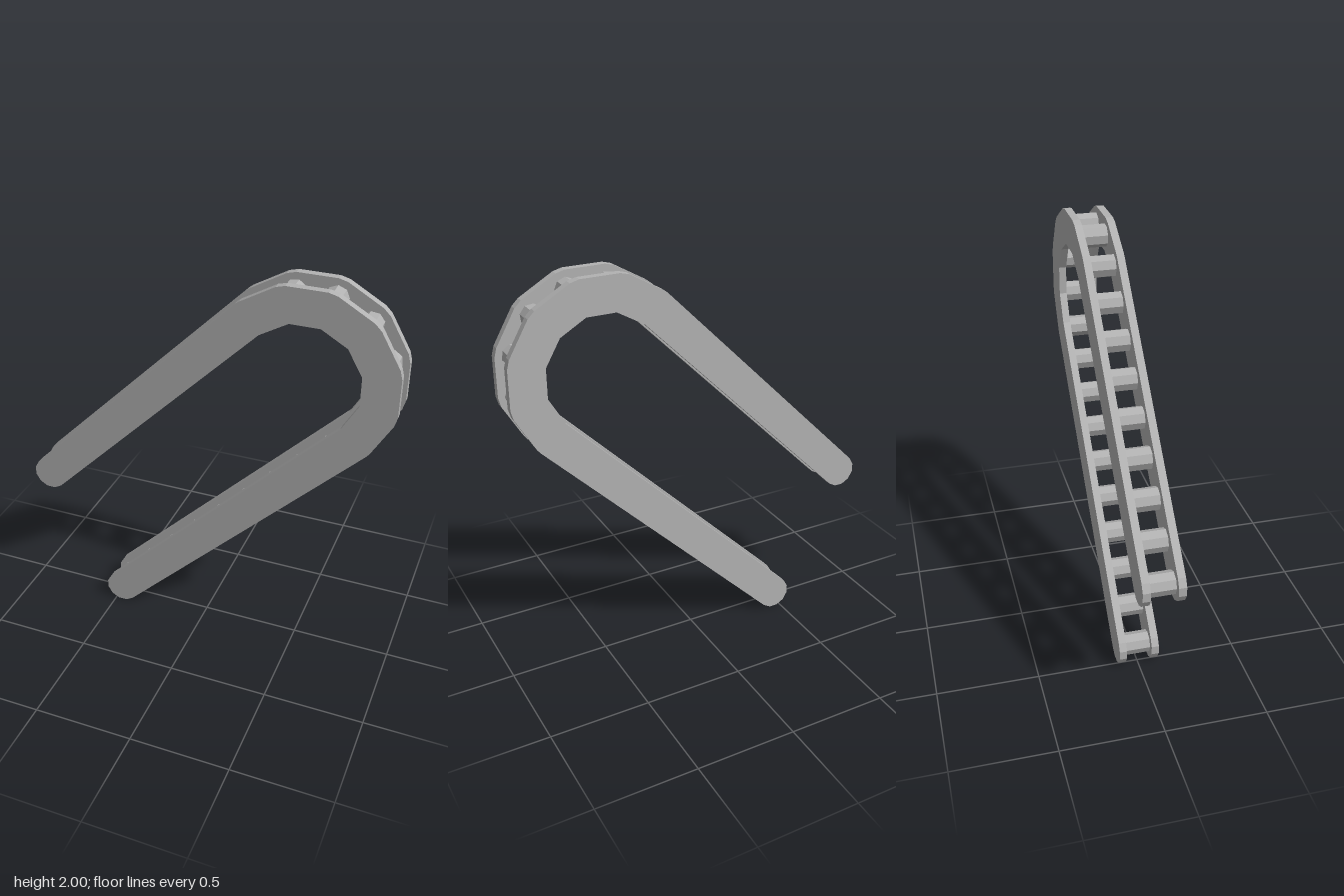
import * as THREE from 'three';

const PITCH = 0.1907;          // distance between neighbouring pins
const HALF_WIDTH = 0.0865;     // half the width of a link plate
const PLATE_IN = 0.063, PLATE_OUT = 0.1;
const CENTRE = new THREE.Vector2(0.4903, 1.5576);
const RAD = Math.PI / 180;

const polar = (origin, deg, r) =>
  new THREE.Vector2(origin.x + r * Math.cos(deg * RAD), origin.y + r * Math.sin(deg * RAD));

// Pin positions: a straight arm, half of a 12-sided bend, a second straight arm
function chainPath() {
  const bendRadius = PITCH / (2 * Math.sin(15 * RAD));
  const bend = [];
  for (let a = 135; a >= -45; a -= 30) bend.push(polar(CENTRE, a, bendRadius));
  const pins = [];
  for (let k = 8; k > 0; k--) pins.push({ p: polar(bend[0], 225, PITCH * k), dir: 45 });
  bend.forEach((p, i) => pins.push({ p, dir: i === 0 ? 45 : 60 - 30 * i }));
  for (let k = 1; k <= 9; k++) pins.push({ p: polar(bend[6], 225, PITCH * k), dir: 225 });
  return { pins, bend };
}

// Outline of one side plate: chamfered outer corners, mitred inner corners, faceted round ends
function plateShape(pins, bend) {
  const pts = [];
  const headings = [45, 30, 0, -30, -60, -90, -120, -135];
  const cap = (p, from) => {
    for (let k = 0; k <= 6; k++) pts.push(polar(p, from - 30 * k, HALF_WIDTH));
  };
  cap(pins[0].p, 315);
  bend.forEach((p, i) => {
    pts.push(polar(p, headings[i] + 90, HALF_WIDTH), polar(p, headings[i + 1] + 90, HALF_WIDTH));
  });
  cap(pins[pins.length - 1].p, -45);
  for (let i = bend.length - 1; i >= 0; i--) {
    const mid = (headings[i] + headings[i + 1]) / 2;
    const half = (headings[i] - headings[i + 1]) / 2;
    pts.push(polar(bend[i], mid - 90, HALF_WIDTH / Math.cos(half * RAD)));
  }
  return new THREE.Shape(pts);
}

export function createModel() {
  const group = new THREE.Group();
  group.name = 'chain';
  const steel = new THREE.MeshStandardMaterial({ color: 0xb2b2b2, flatShading: true });
  steel.name = 'steel grey';
  const { pins, bend } = chainPath();

  // Front and back link plates
  const plateGeo = new THREE.ExtrudeGeometry(plateShape(pins, bend), {
    depth: PLATE_OUT - PLATE_IN, bevelEnabled: false,
  });
  for (const [name, z] of [['frontPlate', PLATE_IN], ['backPlate', -PLATE_OUT]]) {
    const plate = new THREE.Mesh(plateGeo, steel);
    plate.name = name;
    plate.position.z = z;
    group.add(plate);
  }

  // Eight-sided rollers between the plates, one at every pin
  const rollerGeo = new THREE.CylinderGeometry(0.055, 0.055, PLATE_IN * 2, 8).rotateX(Math.PI / 2);
  pins.forEach(({ p, dir }, i) => {
    const roller = new THREE.Mesh(rollerGeo, steel);
    roller.name = `roller${i + 1}`;
    roller.position.set(p.x, p.y, 0);
    roller.rotation.z = dir * RAD;
    group.add(roller);
  });
  return group;
}
